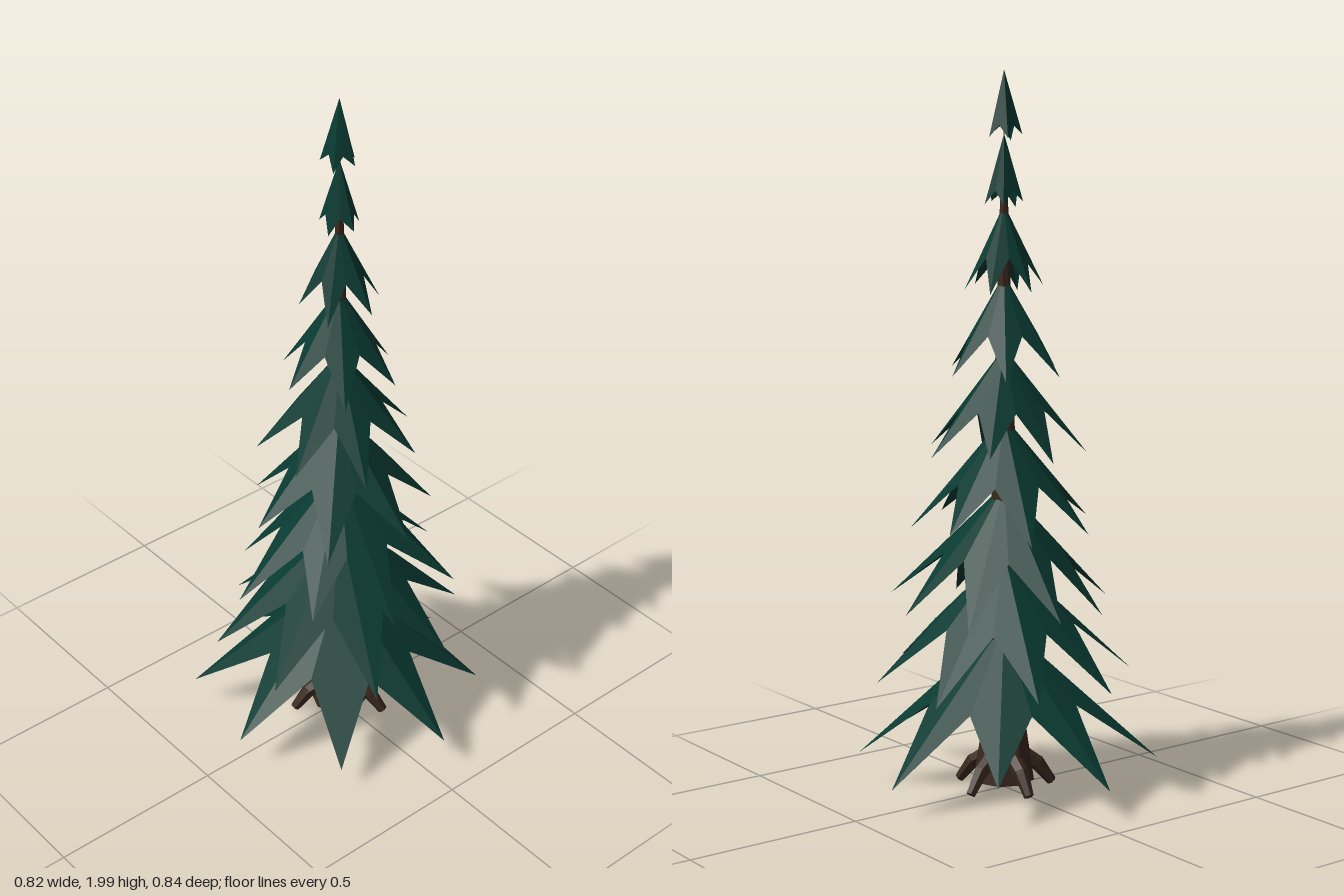
import * as THREE from 'three';

// Tiers from bottom to top: apex height, tip height, first tip angle in degrees,
// tip radii, then how far out and how far down the notches between tips sit
const TIERS = [
  [0.48, 0.1, 39.4, [0.41, 0.42, 0.38, 0.41, 0.43, 0.42, 0.376, 0.41], 0.54, 0.56],
  [0.68, 0.33, 23.2, [0.36, 0.345, 0.36, 0.386, 0.37, 0.343, 0.383, 0.35], 0.54, 0.56],
  [0.87, 0.53, 10.3, [0.3, 0.337, 0.31, 0.287, 0.325, 0.284, 0.336, 0.3], 0.54, 0.56],
  [1.06, 0.75, 34, [0.26, 0.27, 0.27, 0.265, 0.25, 0.274, 0.25], 0.54, 0.58],
  [1.25, 0.96, 8.3, [0.225, 0.22, 0.225, 0.22, 0.23, 0.2, 0.22], 0.54, 0.58],
  [1.45, 1.18, 5, [0.165, 0.165, 0.165, 0.165, 0.17, 0.16], 0.56, 0.6],
  [1.64, 1.41, 25, [0.11, 0.12, 0.12, 0.11, 0.11, 0.12], 0.57, 0.62],
  [1.83, 1.64, 20, [0.055, 0.06, 0.052, 0.055, 0.06], 0.68, 0.8],
  [2.0, 1.82, 6, [0.047, 0.05, 0.047, 0.05, 0.047], 0.68, 0.82],
];

// Open star-shaped cone: a ridge runs to each drooping tip, with a notch between tips
function starCone(apexY, tipY, startDeg, radii, notchOut, notchDown) {
  const n = radii.length;
  const notchR = notchOut * radii.reduce((a, b) => a + b) / n;
  const drop = apexY - tipY;
  const notchY = apexY - drop * notchDown;
  const start = THREE.MathUtils.degToRad(startDeg);
  const step = (Math.PI * 2) / n;
  const polar = (r, y, a) => [r * Math.cos(a), y, r * Math.sin(a)];
  const apex = [0, apexY, 0];
  const positions = [];
  for (let i = 0; i < n; i++) {
    const a = start + i * step;
    const tip = polar(radii[i], tipY + 0.05 * drop * Math.sin(i * 2.4), a);
    const before = polar(notchR, notchY, a - step / 2);
    const after = polar(notchR, notchY, a + step / 2);
    positions.push(...apex, ...tip, ...before, ...apex, ...after, ...tip);
  }
  const geometry = new THREE.BufferGeometry();
  geometry.setAttribute('position', new THREE.Float32BufferAttribute(positions, 3));
  geometry.computeVertexNormals();
  return geometry;
}

// Tapered round piece between two points
function taper(from, to, r0, r1, material) {
  const dir = to.clone().sub(from);
  const mesh = new THREE.Mesh(new THREE.CylinderGeometry(r1, r0, dir.length(), 6), material);
  mesh.position.copy(from).addScaledVector(dir, 0.5);
  mesh.quaternion.setFromUnitVectors(new THREE.Vector3(0, 1, 0), dir.normalize());
  return mesh;
}

export function createModel() {
  const needles = new THREE.MeshStandardMaterial({ color: 0x093a32, flatShading: true, side: THREE.DoubleSide });
  needles.name = 'needle green';
  const bark = new THREE.MeshStandardMaterial({ color: 0x3a281e, flatShading: true });
  bark.name = 'bark brown';

  const tree = new THREE.Group();
  tree.name = 'pineTree';

  // Branch tiers
  TIERS.forEach((tier, i) => {
    const mesh = new THREE.Mesh(starCone(...tier), needles);
    mesh.name = `branchTier${i + 1}`;
    tree.add(mesh);
  });

  // Trunk with a flared foot
  const profile = [[0, 0.03], [0.085, 0.03], [0.06, 0.2], [0.045, 0.45], [0.028, 1.1], [0.011, 1.65], [0, 1.85]]
    .map(([r, y]) => new THREE.Vector2(r, y));
  const trunk = new THREE.Mesh(new THREE.LatheGeometry(profile, 8), bark);
  trunk.name = 'trunk';
  tree.add(trunk);

  // Roots, each a slanted upper piece and a steeper toe
  for (let i = 0; i < 5; i++) {
    const a = THREE.MathUtils.degToRad(-83 + i * 72);
    const at = (r, y) => new THREE.Vector3(r * Math.cos(a), y, r * Math.sin(a));
    const root = new THREE.Group();
    root.name = `root${i + 1}`;
    root.add(taper(at(0.05, 0.1), at(0.1, 0.066), 0.024, 0.021, bark));
    root.add(taper(at(0.092, 0.074), at(0.138, 0.014), 0.022, 0.014, bark));
    tree.add(root);
  }
  return tree;
}
